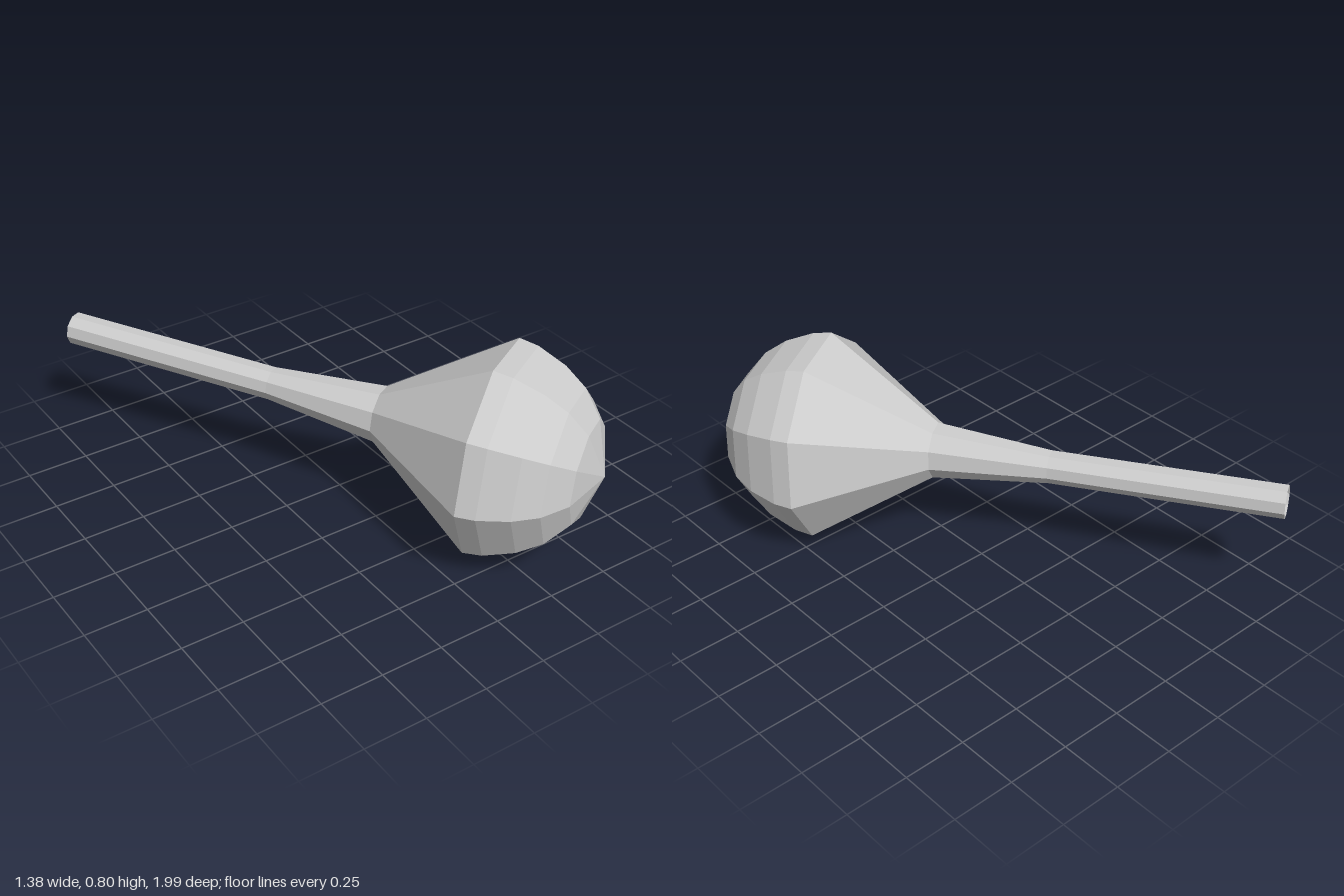
import * as THREE from 'three';

export function createModel() {
  const group = new THREE.Group();
  const material = new THREE.MeshStandardMaterial({
    color: 0xcccccc, flatShading: true, side: THREE.DoubleSide,
  });

  // Half profile [radius, distance along the axis], from round bottom to open mouth
  const profile = [
    [0, -1.075], [0.2, -1.01], [0.295, -0.935], [0.355, -0.847], [0.4, -0.732], // rounded bottom
    [0.411, -0.657], // rim of the bulb
    [0.11, -0.2], // shoulder to neck
    [0.065, 0.26], [0.065, 1.16], // straight tube
  ].map(([r, t]) => new THREE.Vector2(r, t));

  const sides = 9;
  const phiStart = THREE.MathUtils.degToRad(-16.8);
  const flask = new THREE.Mesh(new THREE.LatheGeometry(profile, sides, phiStart), material);
  flask.name = 'flask';

  // Lay the flask on its side: the mouth points back right and slightly up
  const axis = new THREE.Vector3(-0.515, 0.033, -0.857).normalize();
  const across = new THREE.Vector3(0.857, 0, -0.515).normalize();
  const up = new THREE.Vector3().crossVectors(across, axis);
  flask.quaternion.setFromRotationMatrix(new THREE.Matrix4().makeBasis(across, axis, up));
  flask.position.set(-0.048, 0.437, 0.029);

  group.add(flask);
  return group;
}
